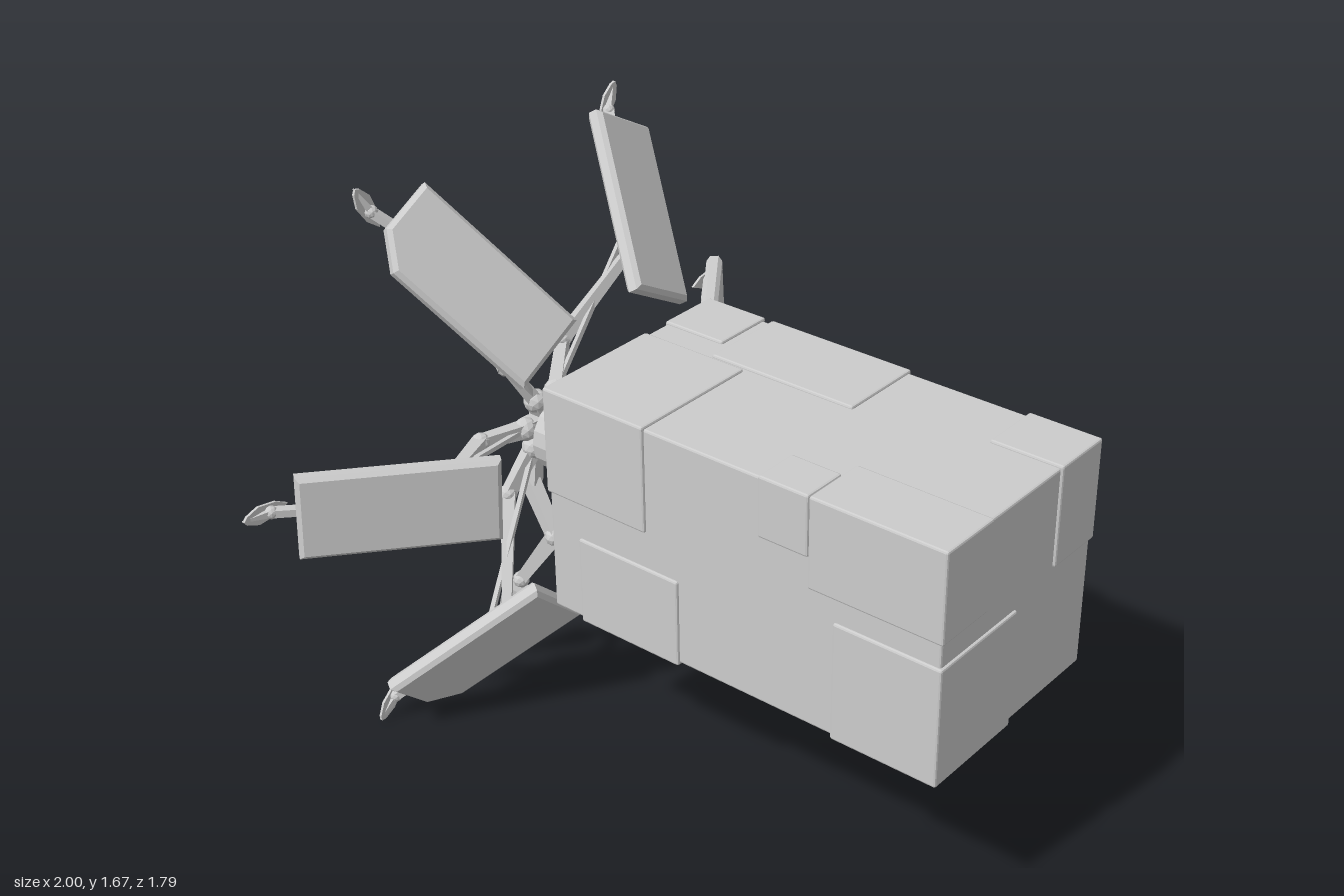
import * as THREE from 'three';
import { RoundedBoxGeometry } from 'three/addons/geometries/RoundedBoxGeometry.js';

const V = (x, y, z) => new THREE.Vector3(x, y, z);

export function createModel() {
  const model = new THREE.Group();
  const grey = new THREE.MeshStandardMaterial({ color: 0xcccccc, flatShading: true });
  grey.name = 'plainGrey';

  const add = (name, geo, parent = model) => {
    const m = new THREE.Mesh(geo, grey);
    m.name = name;
    parent.add(m);
    return m;
  };
  // Chamfered box given by its ranges
  const block = (name, x0, x1, y0, y1, z0, z1, r = 0.006) => {
    const m = add(name, new RoundedBoxGeometry(x1 - x0, y1 - y0, z1 - z0, 1, r));
    m.position.set((x0 + x1) / 2, (y0 + y1) / 2, (z0 + z1) / 2);
    return m;
  };
  // Bar between two points, tapering from w0 x d0 to w1 x d1
  const bar = (name, a, b, w0, d0, w1 = w0, d1 = d0) => {
    const geo = new THREE.BoxGeometry(1, 1, a.distanceTo(b));
    const p = geo.attributes.position;
    for (let i = 0; i < p.count; i++) {
      const far = p.getZ(i) > 0;
      p.setX(i, p.getX(i) * (far ? w1 : w0));
      p.setY(i, p.getY(i) * (far ? d1 : d0));
    }
    geo.computeVertexNormals();
    const m = add(name, geo);
    m.position.copy(a).lerp(b, 0.5);
    m.lookAt(b);
    return m;
  };
  const drum = (name, r0, r1, z0, z1, y, sides = 16) => {
    const m = add(name, new THREE.CylinderGeometry(r0, r1, z0 - z1, sides).rotateX(Math.PI / 2));
    m.position.set(0, y, (z0 + z1) / 2);
  };
  const joint = (name, p, r) => add(name, new THREE.IcosahedronGeometry(r, 1)).position.copy(p);

  // Body with overlapping armour panels
  block('body', -0.342, 0.342, 0.488, 1.172, -0.405, 0.882);
  [
    [-0.35, -0.15, 0.91, 1.18, 0.48, 0.89],
    [0.16, 0.35, 0.88, 1.18, 0.67, 0.89],
    [-0.35, -0.01, 0.48, 0.84, 0.56, 0.89],
    [0.08, 0.35, 0.99, 1.18, -0.18, 0.295],
    [0.155, 0.35, 0.81, 1.18, -0.41, -0.205],
    [-0.35, 0.07, 0.86, 1.18, -0.41, -0.06],
    [-0.35, -0.21, 1.0, 1.18, 0.32, 0.478],
    [0.2, 0.35, 0.65, 0.88, 0.3, 0.45],
    [0.12, 0.35, 0.48, 0.84, -0.05, 0.298],
    [0.15, 0.35, 0.48, 0.648, 0.302, 0.6],
    [-0.35, -0.1, 0.48, 0.75, -0.3, 0.05],
  ].forEach(r => block('armourPanel', ...r));

  // Underside fittings
  const knob = add('undersideKnob', new THREE.CylinderGeometry(0.075, 0.075, 0.028, 10));
  knob.position.set(0.21, 0.447, -0.275);
  add('knobNeck', new THREE.CylinderGeometry(0.055, 0.055, 0.04, 12)).position.set(0.21, 0.475, -0.275);
  add('undersideStud', new THREE.CylinderGeometry(0.022, 0.022, 0.04, 10)).position.set(0.07, 0.47, -0.145);
  block('hangingStrap', -0.08, -0.068, 0.29, 0.5, -0.468, -0.455, 0.002);
  block('shortStrap', -0.045, -0.033, 0.41, 0.5, -0.468, -0.455, 0.002);

  // Mount, neck and hub
  block('backMount', -0.09, 0.16, 0.495, 0.83, -0.475, -0.39, 0.015);
  drum('neck', 0.05, 0.05, -0.4, -0.56, 0.79);
  block('shoulderBlock', -0.1, 0.1, 0.74, 0.88, -0.59, -0.53, 0.012);
  drum('hubCollar', 0.1, 0.115, -0.6, -0.63, 0.8);
  drum('hubDrum', 0.115, 0.115, -0.615, -0.69, 0.8);
  drum('hubTaper', 0.115, 0.075, -0.69, -0.72, 0.8);
  drum('hubCore', 0.06, 0.045, -0.71, -0.78, 0.81, 8);

  // Cables looping out of the back
  [[0.12, 1.08, 0.09, 0.98], [0.05, 1.04, -0.02, 0.92]].forEach(([x0, y0, x1, y1]) => {
    const curve = new THREE.CatmullRomCurve3([V(x0, y0, -0.39), V(x0, y0 - 0.005, -0.47),
      V((x0 + x1) / 2, (y0 + y1) / 2 + 0.01, -0.545), V(x1, y1 + 0.015, -0.48), V(x1, y1, -0.39)]);
    add('cable', new THREE.TubeGeometry(curve, 24, 0.007, 6));
  });
  for (const x of [-0.03, 0.03]) bar('neckRod', V(x * 0.6, 0.93, -0.4), V(x, 0.86, -0.62), 0.012, 0.012);

  // Shield outline: a rectangle, with one outer corner cut when clip is +1 or -1
  const shieldGeometry = clip => {
    const l = 0.263, w = 0.112, s = clip || 1;
    const pts = [[-l, -w * s], [l, -w * s]];
    if (clip) pts.push([l, w * s * 0.35], [l - 0.08, w * s]);
    else pts.push([l, w * s]);
    pts.push([-l, w * s]);
    const shape = new THREE.Shape(pts.map(p => new THREE.Vector2(...p)));
    return new THREE.ExtrudeGeometry(shape, { depth: 0.026, bevelEnabled: true,
      bevelThickness: 0.012, bevelSize: 0.012, bevelSegments: 1 }).translate(0, 0, -0.013);
  };
  const leaf = new THREE.Shape([[-0.15, 0], [-0.11, -0.02], [-0.05, -0.027], [-0.01, -0.012], [0, 0],
    [-0.01, 0.012], [-0.05, 0.027], [-0.11, 0.02]].map(p => new THREE.Vector2(...p)));
  const leafGeo = new THREE.ExtrudeGeometry(leaf, { depth: 0.008, bevelEnabled: false });

  // Six arms, each carrying a tilted shield and a leaf-shaped tip
  // side, centre x, centre y, angle, corner cut, tip x, tip y
  [
    [1, 0.66, 0.865, 3, -1, 1.0, 0.885],
    [-1, 0.66, 0.862, 3, 0, 1.0, 0.885],
    [1, 0.335, 1.395, 61, 0, 0.51, 1.67],
    [-1, 0.335, 1.395, 61, 1, 0.51, 1.67],
    [1, 0.39, 0.25, -48, 0, 0.605, 0.005],
    [-1, 0.385, 0.255, -48, 1, 0.605, 0.005],
  ].forEach(([side, cx, cy, deg, clip, tx, ty]) => {
    const a = THREE.MathUtils.degToRad(side > 0 ? deg : 180 - deg);
    const out = V(Math.cos(a), Math.sin(a), 0);
    const shield = new THREE.Group();
    shield.name = 'shield';
    shield.position.set(side * cx, cy, -0.66);
    shield.rotation.set(0, THREE.MathUtils.degToRad(36.5), a, 'ZYX');
    model.add(shield);
    add('shieldPlate', shieldGeometry(clip), shield);
    add('shieldRail', new THREE.BoxGeometry(0.32, 0.045, 0.02), shield).position.set(0.05, 0, -0.03);
    add('railMount', new THREE.BoxGeometry(0.06, 0.06, 0.04), shield).position.set(-0.1, 0, -0.035);
    shield.updateMatrixWorld(true);

    const hub = V(0, 0.82, -0.74);
    const root = hub.clone().addScaledVector(out, 0.09);
    const mount = shield.localToWorld(V(-0.1, 0, -0.045));
    const elbow = root.clone().lerp(mount, 0.32).setZ(-0.775);
    bar('armRoot', hub, root, 0.05, 0.05);
    joint('armJoint', root, 0.036);
    bar('innerArm', root, elbow, 0.04, 0.045, 0.034, 0.034);
    joint('elbowJoint', elbow, 0.028);
    bar('outerArm', elbow, mount, 0.042, 0.036, 0.026, 0.026);
    joint('mountJoint', mount, 0.026);
    bar('armStrut', root, shield.localToWorld(V(-0.02, 0, -0.035)), 0.014, 0.014);

    const end = V(side * tx, ty, -0.9);
    const tip = add('tipLeaf', leafGeo);
    tip.position.copy(end);
    tip.rotation.z = a;
    const knuckle = end.clone().addScaledVector(out, -0.085).setZ(-0.885);
    bar('tipLink', shield.localToWorld(V(0.2, 0, -0.03)), knuckle, 0.028, 0.022);
    joint('tipKnuckle', knuckle, 0.019);
    bar('tipRidge', knuckle, end, 0.022, 0.022, 0.004, 0.004);
  });

  // Two short legs with pointed feet
  for (const s of [-1, 1]) {
    const hip = V(s * 0.05, 0.71, -0.76), thigh = V(s * 0.065, 0.63, -0.755);
    const knee = V(s * 0.095, 0.5, -0.64), ankle = V(s * 0.13, 0.32, -0.755);
    bar('hipLink', V(s * 0.03, 0.8, -0.74), hip, 0.04, 0.04);
    bar('hipBlock', hip, thigh, 0.05, 0.06);
    bar('thigh', thigh, knee, 0.04, 0.055, 0.036, 0.045);
    joint('kneeJoint', knee, 0.03);
    bar('shin', knee, ankle, 0.034, 0.05, 0.03, 0.034);
    joint('ankleJoint', ankle, 0.026);
    bar('foot', V(s * 0.132, 0.29, -0.765), V(s * 0.16, 0.11, -0.84), 0.055, 0.085, 0.016, 0.012);
  }
  return model;
}
